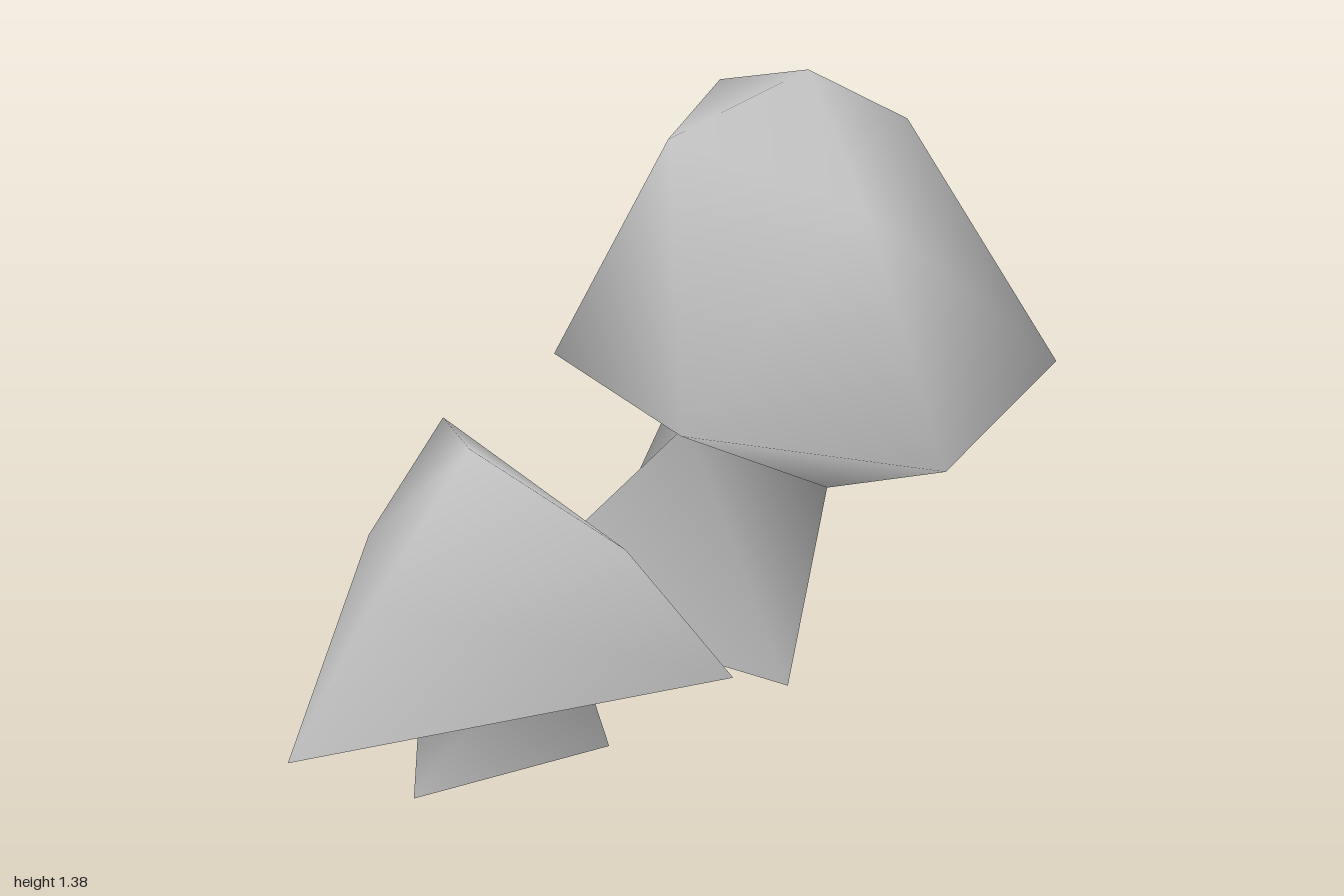
import * as THREE from 'three';
import { mergeVertices } from 'three/addons/utils/BufferGeometryUtils.js';

const grey = new THREE.MeshStandardMaterial({ color: 0xc0c0c0 });
grey.name = 'stone grey';

// Corner points of a ring, sorted by their angle around the ring's centre
function ring(points) {
  const corners = points.map((p) => new THREE.Vector3(...p));
  const centre = new THREE.Vector3();
  corners.forEach((p) => centre.addScaledVector(p, 1 / corners.length));
  const angle = (p) => Math.atan2(p.z - centre.z, p.x - centre.x);
  return corners.sort((a, b) => angle(a) - angle(b));
}

// Triangles joining an upper ring to a lower one, always along the shorter diagonal
function loft(upper, lower) {
  const at = (r, i) => r[i % r.length];
  const triangles = [];
  let i = 0, j = 0;
  while (i < upper.length || j < lower.length) {
    const a = at(upper, i), b = at(lower, j);
    const nextA = at(upper, i + 1), nextB = at(lower, j + 1);
    const stepUpper = j === lower.length
      || (i < upper.length && nextA.distanceTo(b) < a.distanceTo(nextB));
    triangles.push(a, stepUpper ? nextA : nextB, b);
    if (stepUpper) i++;
    else j++;
  }
  return triangles;
}

// Faces from the tip of the cap down to the shoulder ring
function peak(tip, shoulder) {
  return shoulder.flatMap((p, i) => [tip, shoulder[(i + 1) % shoulder.length], p]);
}

// Flat sole under the foot
function sole(foot) {
  const triangles = [];
  for (let i = 1; i < foot.length - 1; i++) triangles.push(foot[0], foot[i], foot[i + 1]);
  return triangles;
}

// One softly shaded skin
function skin(name, triangles) {
  const geometry = mergeVertices(new THREE.BufferGeometry().setFromPoints(triangles), 1e-3);
  geometry.computeVertexNormals();
  const mesh = new THREE.Mesh(geometry, grey);
  mesh.name = name;
  return mesh;
}

function mushroom(name, { tip, shoulder, rim, neck, foot, sharpRim }) {
  const [shoulderRing, rimRing, neckRing, footRing] = [shoulder, rim, neck, foot].map(ring);
  const cap = [...peak(new THREE.Vector3(...tip), shoulderRing), ...loft(shoulderRing, rimRing)];
  const stem = [...loft(rimRing, neckRing), ...loft(neckRing, footRing)];
  const group = new THREE.Group();
  group.name = name;
  if (sharpRim) group.add(skin('cap', cap), skin('stem', stem));
  else group.add(skin('capAndStem', [...cap, ...stem]));
  group.add(skin('sole', sole(footRing)));
  return group;
}

export function createModel() {
  const model = new THREE.Group();
  model.name = 'mushrooms';

  // Large leaning mushroom at the back, its cap flowing into the stem
  model.add(mushroom('largeMushroom', {
    tip: [0.09, 1.375, -0.3],
    shoulder: [[-0.1, 1.255, -0.08], [0.29, 1.15, -0.2], [0.15, 1.19, -0.62], [-0.22, 1.255, -0.45]],
    rim: [[0.09, 0.78, -1], [0.55, 0.73, -0.6], [0.55, 0.69, -0.1], [0.15, 0.8, 0.24], [-0.21, 0.85, 0.17], [-0.53, 0.86, -0.63]],
    neck: [[-0.26, 0.65, -0.46], [-0.1, 0.58, -0.145], [0.22, 0.495, -0.21], [0.02, 0.56, -0.6]],
    foot: [[-0.55, 0.01, -0.48], [-0.525, 0.05, 0], [0.19, 0.02, -0.12], [-0.134, 0, -0.73]],
    sharpRim: false,
  }));

  // Small three-sided mushroom in front, its cap slightly hollow below
  model.add(mushroom('smallMushroom', {
    tip: [-0.1, 0.845, 0.57],
    shoulder: [[-0.35, 0.745, 0.36], [0.18, 0.67, 0.467], [-0.23, 0.69, 0.72], [-0.13, 0.63, 0.83]],
    rim: [[-0.55, 0.44, 0.25], [0.34, 0.37, 0.34], [-0.21, 0.345, 1]],
    neck: [[-0.26, 0.45, 0.38], [-0.025, 0.46, 0.41], [-0.2, 0.41, 0.625]],
    foot: [[-0.42, 0.015, 0.205], [-0.025, 0, 0.26], [-0.245, 0.01, 0.64]],
    sharpRim: true,
  }));

  return model;
}
